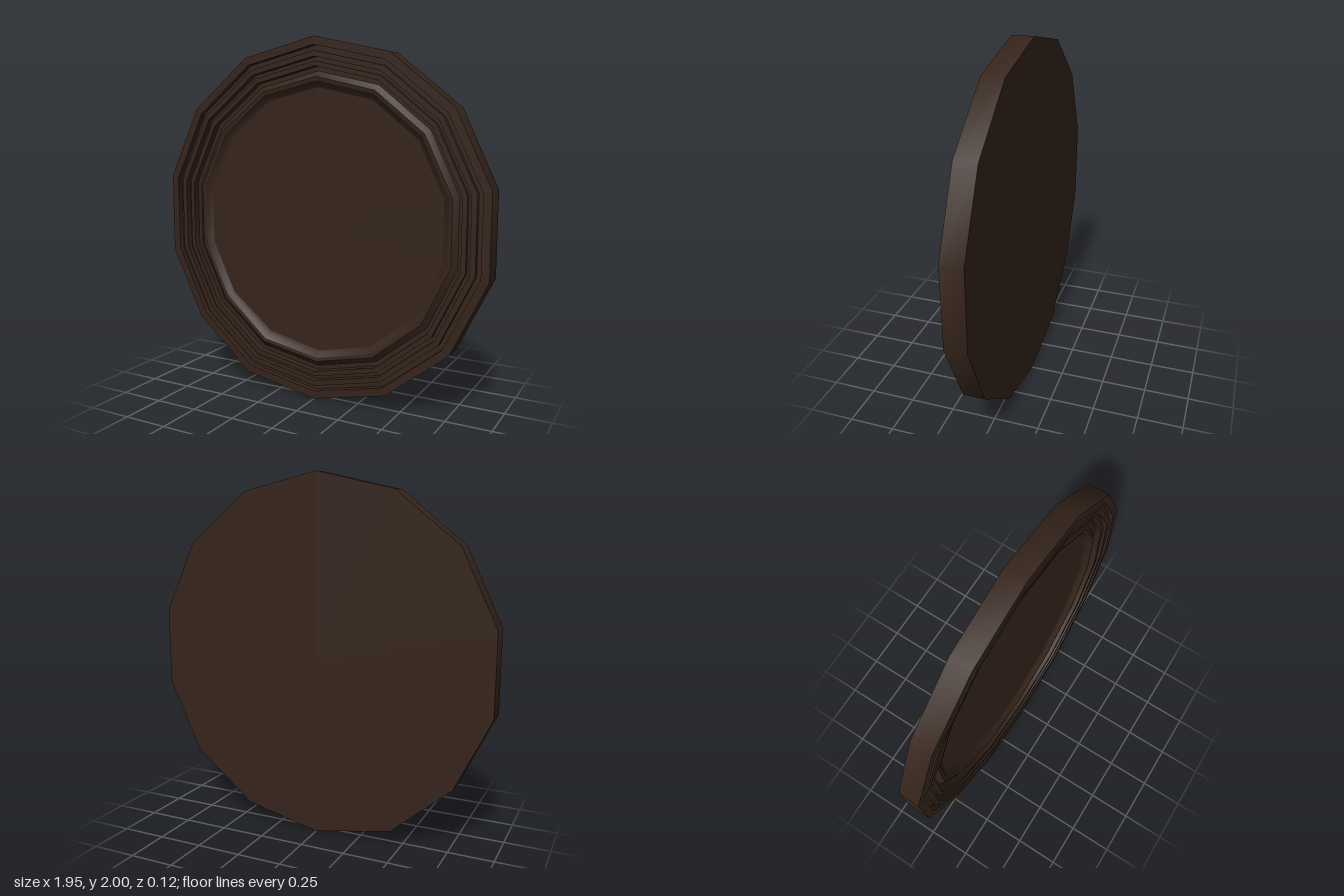
import * as THREE from 'three';
import { toCreasedNormals } from 'three/addons/utils/BufferGeometryUtils.js';

const SIDES = 14;

export function createModel() {
  const model = new THREE.Group();
  model.name = 'roundPanel';
  const material = new THREE.MeshStandardMaterial({ color: 0x35241b });

  // Turns a [radius, depth] profile into a 14-sided ring facing +z,
  // smooth around the ring and sharp across the ridges
  const addRing = (name, profile) => {
    const points = profile.map(([r, z]) => new THREE.Vector2(r, z));
    const geometry = new THREE.LatheGeometry(points, SIDES).rotateX(Math.PI / 2);

    // One lower corner is pulled slightly outwards
    const position = geometry.attributes.position;
    const corner = Math.PI * 2 / SIDES;
    for (let i = 0; i < position.count; i++) {
      const x = position.getX(i), y = position.getY(i);
      if (Math.hypot(x, y) > 0.74 && Math.abs(Math.atan2(-x, -y) - corner) < 0.01) {
        position.setXY(i, x * 1.018, y * 1.018);
      }
    }

    const mesh = new THREE.Mesh(toCreasedNormals(geometry, 0.6), material);
    mesh.name = name;
    mesh.position.y = 1;
    model.add(mesh);
  };

  // Back and outer rim
  addRing('backAndRim', [[0, -0.06], [1, -0.06], [1, 0.058]]);

  // Concentric ridges with grooves between: [outer radius, inner radius, depth]
  const bands = [
    [1, 0.955, 0.058], [0.955, 0.925, 0.025],
    [0.925, 0.895, 0.054], [0.895, 0.872, 0.02],
    [0.872, 0.845, 0.044], [0.845, 0.82, 0.005],
  ];
  addRing('ridgedFrame', bands.flatMap(([outer, inner, z]) => [[outer, z], [inner, z]]));

  // Raised bead around the centre
  addRing('bead', [[0.82, 0.005], [0.79, 0.03], [0.77, 0.027], [0.75, 0.008], [0.735, 0]]);

  // Flat centre panel
  addRing('centrePanel', [[0.735, 0], [0, 0]]);

  return model;
}
